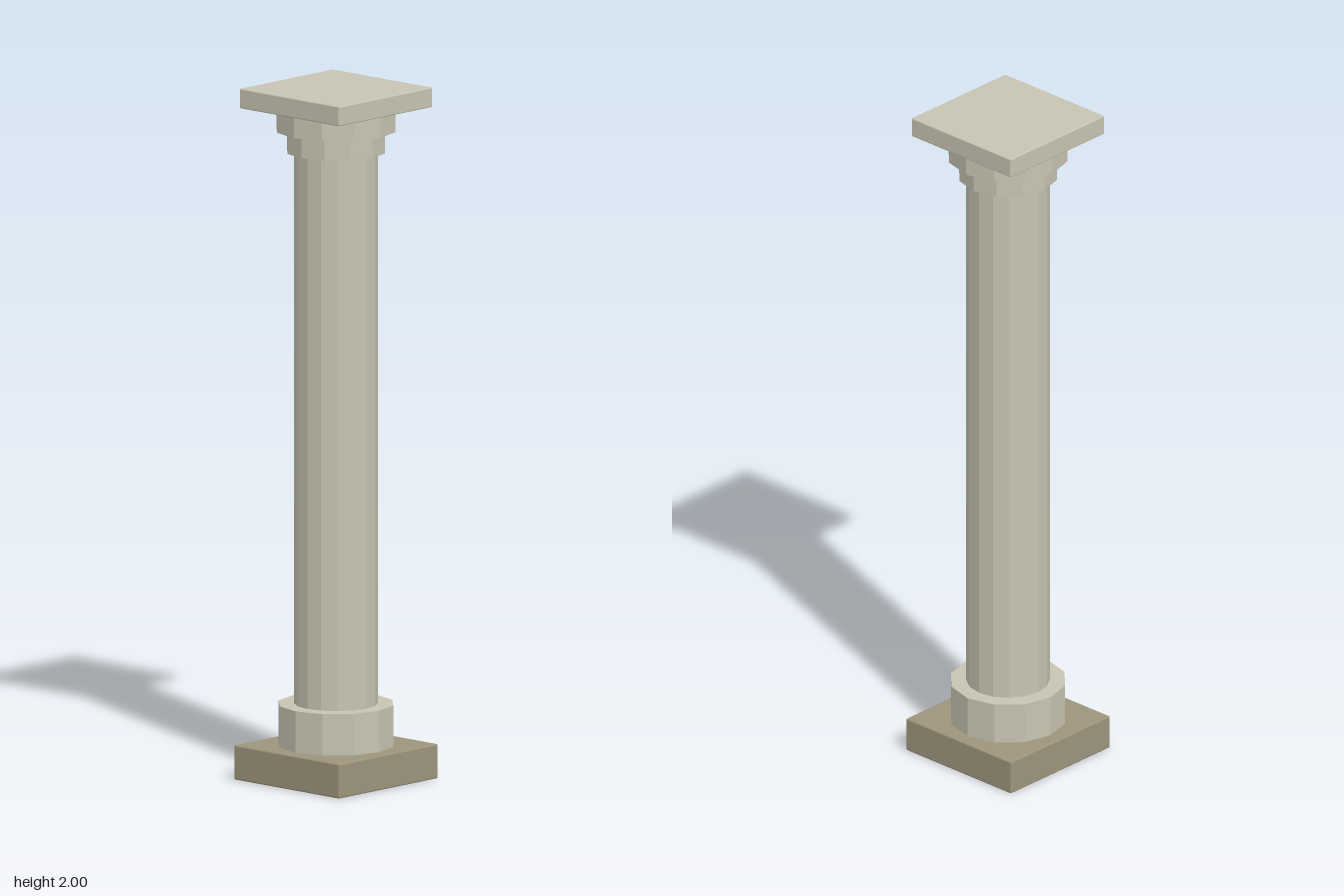
import * as THREE from 'three';
import { RoundedBoxGeometry } from 'three/addons/geometries/RoundedBoxGeometry.js';

function stoneMaterial(name, color, flatShading) {
  const material = new THREE.MeshStandardMaterial({ color, flatShading });
  material.name = name;
  return material;
}

export function createModel() {
  const column = new THREE.Group();
  column.name = 'column';
  const paleStone = stoneMaterial('paleStone', 0xc8c4b2, true);
  const darkStone = stoneMaterial('darkStone', 0x9d947c, true);

  function add(name, geometry, material, bottom, top) {
    const mesh = new THREE.Mesh(geometry, material);
    mesh.name = name;
    mesh.position.y = (bottom + top) / 2;
    column.add(mesh);
  }

  // Square slab with a fine bevel
  function slab(name, width, bottom, top, bevel, material) {
    add(name, new RoundedBoxGeometry(width, top - bottom, width, 1, bevel), material, bottom, top);
  }

  // Faceted round section
  function drum(name, radius, bottom, top, sides) {
    add(name, new THREE.CylinderGeometry(radius, radius, top - bottom, sides), paleStone, bottom, top);
  }

  slab('plinth', 0.41, 0, 0.1, 0.004, darkStone);
  drum('baseDrum', 0.167, 0.1, 0.22, 12);
  drum('shaft', 0.119, 0.22, 1.817, 16);
  drum('lowerCapitalRing', 0.143, 1.817, 1.88, 12);
  drum('upperCapitalRing', 0.174, 1.88, 1.943, 12);
  slab('abacus', 0.388, 1.943, 2, 0.003, paleStone);

  return column;
}
